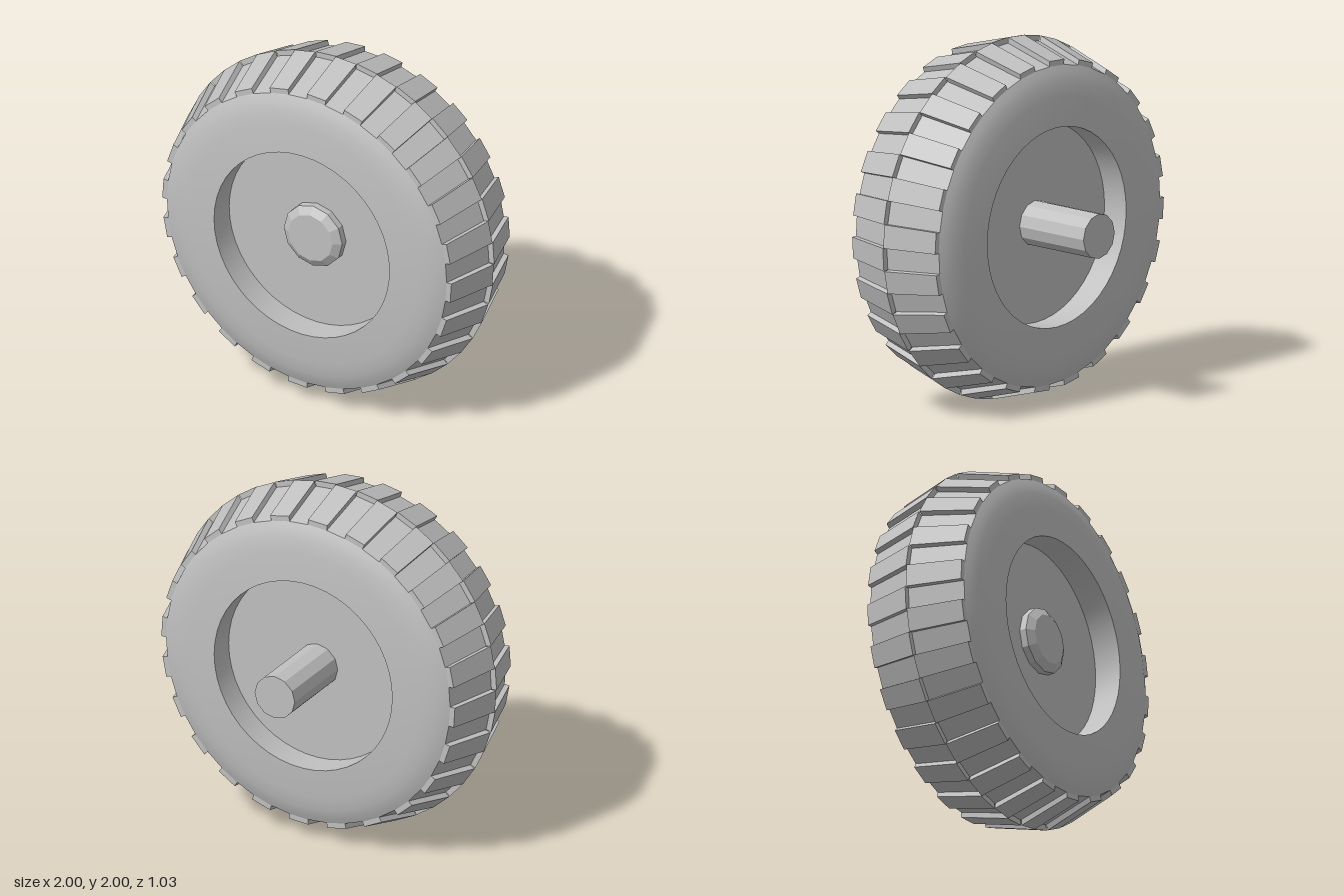
import * as THREE from 'three';
import { toCreasedNormals } from 'three/addons/utils/BufferGeometryUtils.js';

const MID = 0.155;      // z of the wheel's middle plane
const HALF_TREAD = 0.305;
const SIDES = 48;
const COUNT = 24;       // tread blocks per row
const HALF_STEP = Math.PI / SIDES;

// Revolve [radius, z] points around the z axis; points run from back to front on outer faces
function revolve(points, sides, crease) {
  const geo = new THREE.LatheGeometry(points.map(([r, z]) => new THREE.Vector2(r, z)), sides);
  geo.rotateX(Math.PI / 2);
  return toCreasedNormals(geo, crease);
}

// Tapered block, tallest at the middle plane; side is +1 for the front row, -1 for the back
function blockGeometry(side) {
  const geo = new THREE.BoxGeometry(1, 1, 1);
  const p = geo.attributes.position;
  for (let i = 0; i < p.count; i++) {
    const edge = p.getZ(i) * side > 0;
    const outer = p.getY(i) > 0;
    const r = (edge ? 0.915 : 1.0) - (outer ? 0 : 0.04);
    const a = Math.sign(p.getX(i)) * HALF_STEP;
    const z = MID + side * (edge ? HALF_TREAD : 0.002);
    p.setXYZ(i, r * Math.sin(a), r * Math.cos(a), z);
  }
  geo.computeVertexNormals();
  return geo;
}

export function createModel() {
  const model = new THREE.Group();
  const wheel = new THREE.Group();
  wheel.name = 'wheel';
  wheel.position.y = 1;
  model.add(wheel);

  const grey = new THREE.MeshStandardMaterial({ color: 0xc0c0c0 });
  grey.name = 'grey';

  const add = (name, geo, parent = wheel) => {
    const mesh = new THREE.Mesh(geo, grey);
    mesh.name = name;
    parent.add(mesh);
    return mesh;
  };

  // Sidewalls with rounded shoulders and the walls of the hub recesses
  const frontSide = [[0.885, 0.46], [0.85, 0.476], [0.8, 0.492], [0.72, 0.503], [0.555, 0.514], [0.555, 0.355]];
  const backSide = frontSide.map(([r, z]) => [r, 2 * MID - z]).reverse();
  add('frontSidewall', revolve(frontSide, SIDES, 0.6));
  add('backSidewall', revolve(backSide, SIDES, 0.6));

  // Faceted floor between the tread blocks
  add('treadFloor', revolve([[0.885, MID - HALF_TREAD], [0.968, MID], [0.885, MID + HALF_TREAD]], SIDES, 0.05));

  // Discs closing the recesses
  add('frontDisc', new THREE.CircleGeometry(0.555, SIDES)).position.z = 0.355;
  const backDisc = add('backDisc', new THREE.CircleGeometry(0.555, SIDES));
  backDisc.rotation.y = Math.PI;
  backDisc.position.z = -0.045;

  // Two staggered rows of tread blocks
  for (const [name, side, offset] of [['frontTread', 1, 3], ['backTread', -1, 1]]) {
    const row = new THREE.Group();
    row.name = name;
    wheel.add(row);
    const geo = blockGeometry(side);
    for (let i = 0; i < COUNT; i++) {
      add('treadBlock', geo, row).rotation.z = (4 * i + offset) * HALF_STEP;
    }
  }

  // Bevelled hub cap
  add('hubCap', revolve([[0.185, 0.35], [0.185, 0.395], [0.14, 0.425]], 12, 0.1));
  add('hubCapFace', new THREE.CircleGeometry(0.14, 12)).position.z = 0.425;

  // Axle stub at the back
  const axle = new THREE.CylinderGeometry(0.125, 0.125, 0.47, 12);
  axle.rotateX(Math.PI / 2);
  add('axle', toCreasedNormals(axle, 0.1)).position.z = -0.28;

  return model;
}
